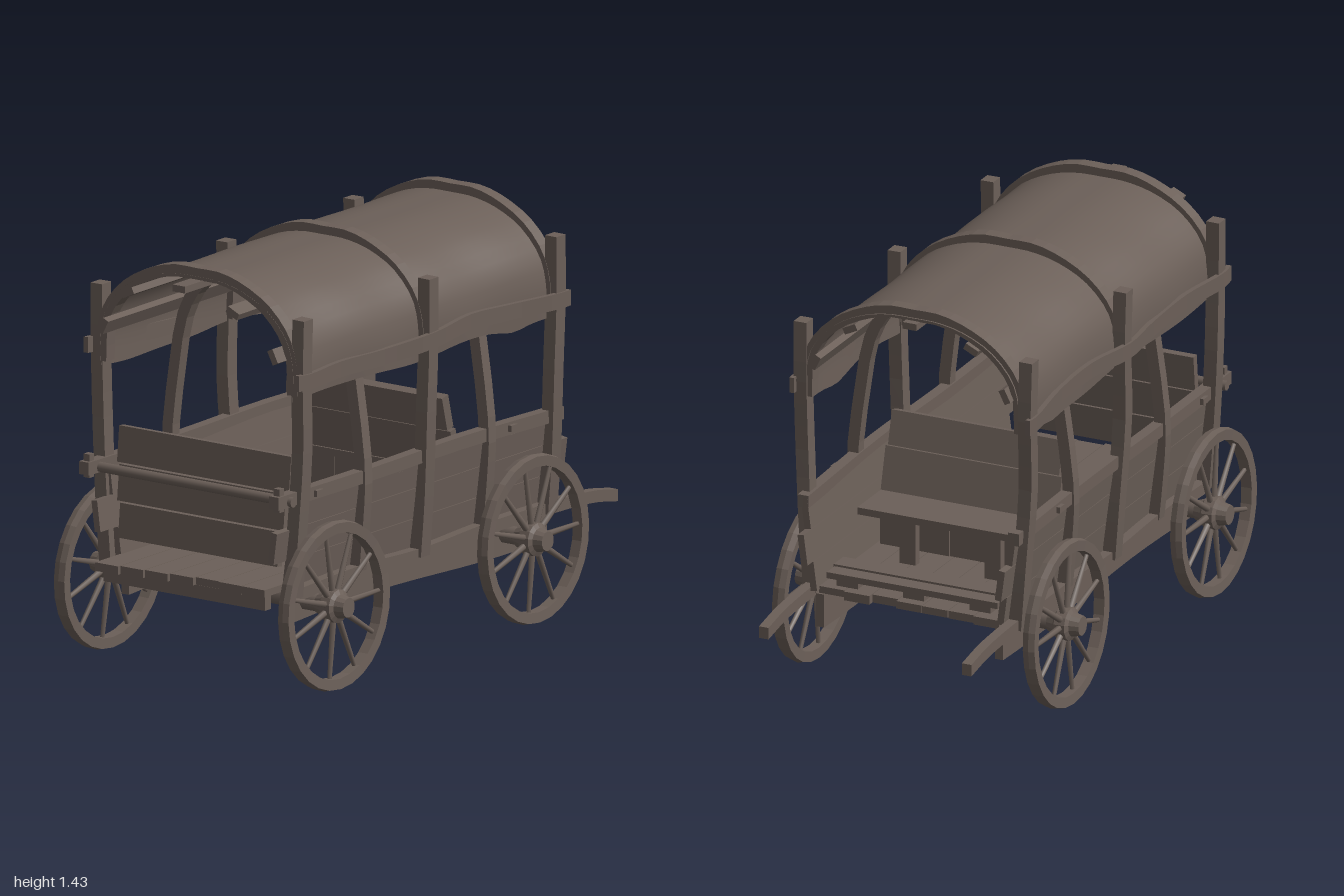
import * as THREE from 'three';

const wood = new THREE.MeshStandardMaterial({ color: 0x6b5f58, side: THREE.DoubleSide });
const X = new THREE.Vector3(1, 0, 0), Y = new THREE.Vector3(0, 1, 0);

export function createModel() {
  const root = new THREE.Group();
  let seed = 7;
  const rnd = () => (seed = (seed * 16807) % 2147483647) / 2147483647;
  const jitter = (a) => (rnd() - 0.5) * 2 * a;

  const add = (name, geo, parent = root) => {
    const m = new THREE.Mesh(geo, wood);
    m.name = name;
    parent.add(m);
    return m;
  };
  const flat = (geo) => {
    const g = geo.index ? geo.toNonIndexed() : geo;
    g.computeVertexNormals();
    return g;
  };
  const box = (name, x0, x1, y0, y1, z0, z1, parent = root) => {
    const m = add(name, new THREE.BoxGeometry(x1 - x0, y1 - y0, z1 - z0), parent);
    m.position.set((x0 + x1) / 2, (y0 + y1) / 2, (z0 + z1) / 2);
    return m;
  };
  // Square timber swept along a path; "side" is the fixed width direction
  const timber = (name, pts, side, width, thick, n = 12) => {
    const curve = new THREE.CatmullRomCurve3(pts.map((p) => new THREE.Vector3(...p)));
    const pos = [], idx = [];
    for (let i = 0; i <= n; i++) {
      const p = curve.getPoint(i / n), t = curve.getTangent(i / n);
      const nor = side.clone().cross(t).normalize();
      for (const [a, b] of [[-1, -1], [1, -1], [1, 1], [-1, 1]]) {
        const v = p.clone().addScaledVector(side, a * width / 2).addScaledVector(nor, b * thick / 2);
        pos.push(v.x, v.y, v.z);
      }
      if (i < n) for (let k = 0; k < 4; k++) {
        const a = i * 4 + k, b = i * 4 + (k + 1) % 4;
        idx.push(a, b, b + 4, a, b + 4, a + 4);
      }
    }
    const e = n * 4;
    idx.push(0, 2, 1, 0, 3, 2, e, e + 1, e + 2, e, e + 2, e + 3);
    const g = new THREE.BufferGeometry();
    g.setAttribute('position', new THREE.Float32BufferAttribute(pos, 3));
    g.setIndex(idx);
    return add(name, flat(g));
  };
  // Mirrors a half profile of [z, y] points into a full arch at x
  const arch = (half, x) => [
    ...half.map(([z, y]) => [x, y, z]),
    ...half.slice(0, -1).reverse().map(([z, y]) => [x, y, -z]),
  ];

  // Wheels
  const ringProfile = [[0.252, -0.02], [0.288, -0.022], [0.293, 0], [0.288, 0.022], [0.252, 0.02], [0.252, -0.02]];
  const hubProfile = [[0, -0.06], [0.035, -0.06], [0.045, -0.03], [0.058, -0.02], [0.058, 0.02], [0.042, 0.028], [0.034, 0.062], [0, 0.062]];
  const lathe = (p, n) => flat(new THREE.LatheGeometry(p.map((q) => new THREE.Vector2(...q)), n)).rotateX(Math.PI / 2);
  const rimGeo = lathe(ringProfile, 28), hubGeo = lathe(hubProfile, 14);
  const spokeGeo = new THREE.CylinderGeometry(0.008, 0.012, 0.22, 6).translate(0, 0.15, 0);
  for (const x of [-0.706, 0.421]) {
    for (const s of [1, -1]) {
      const wheel = new THREE.Group();
      wheel.name = 'wheel';
      add('rim', rimGeo, wheel);
      add('hub', hubGeo, wheel);
      for (let i = 0; i < 11; i++) add('spoke', spokeGeo, wheel).rotation.z = s * ((i / 11) * Math.PI * 2 + 0.15);
      wheel.position.set(x, 0.3, s * 0.472);
      wheel.rotation.set(-0.025, s > 0 ? 0 : Math.PI, 0);
      wheel.rotation.x = -s * 0.025;
      root.add(wheel);
    }
    const axle = add('axle', new THREE.CylinderGeometry(0.032, 0.032, 0.9, 10));
    axle.rotation.x = Math.PI / 2;
    axle.position.set(x, 0.3, 0);
  }

  // Floor boards with ragged ends
  for (let i = 0; i < 7; i++) {
    const z = -0.345 + i * 0.0986;
    box('floorBoard', -0.935 + jitter(0.025), 0.66 + jitter(0.02), 0.35 + jitter(0.004), 0.378, z, z + 0.096);
  }
  box('crossBeam', -0.16, -0.09, 0.3, 0.352, -0.34, 0.34);
  box('rearSill', -0.92, -0.885, 0.305, 0.352, -0.34, 0.34);

  for (const s of [1, -1]) {
    // Undercarriage beam, sagging along its lower edge
    const beamGeo = new THREE.BoxGeometry(1.46, 0.11, 0.03, 12, 1, 1);
    const bp = beamGeo.attributes.position;
    for (let i = 0; i < bp.count; i++) {
      if (bp.getY(i) < 0) bp.setY(i, -0.057 + 0.012 * Math.sin(bp.getX(i) * -4 + 0.5));
    }
    add('underBeam', flat(beamGeo)).position.set(-0.07, 0.295, s * 0.337);

    // Leaning side planks
    const planks = [[-0.82, 0.68, 0.365, 0.47], [-0.92, 0.725, 0.471, 0.581], [-0.83, 0.67, 0.582, 0.66], [-0.82, 0.67, 0.655, 0.695]];
    for (const [a, b, y0, y1] of planks) {
      const z = s * (0.35 + ((y0 + y1) / 2 - 0.36) * 0.13);
      box('sidePlank', a, b, y0, y1, z - 0.012, z + 0.012).rotation.x = s * 0.13;
    }
    // Top rail
    timber('topRail', [[-0.95, 0.695, s * 0.4], [-0.4, 0.69, s * 0.398], [0.1, 0.695, s * 0.4], [0.67, 0.68, s * 0.396]], Y, 0.045, 0.04);
    // Bottom rail running on into the pulling shaft
    const shaft = [[-0.83, 0.345], [-0.45, 0.357], [-0.1, 0.345], [0.25, 0.357], [0.6, 0.355], [0.75, 0.352], [0.88, 0.343], [1, 0.322]];
    timber('shaftRail', shaft.map(([x, y]) => [x, y, s * 0.382]), Y, 0.042, 0.036, 21);
    // Main posts
    for (const x of [-0.82, -0.11, 0.61]) {
      const w = x < -0.5 ? -0.003 : 0.005;
      timber('mainPost', [[x + w, 0.34, s * 0.386], [x + w, 0.55, s * 0.402], [x - w, 0.85, s * 0.42], [x + w, 1.1, s * 0.422], [x, 1.315, s * 0.425]], X, 0.052, 0.048);
    }
    // Wavy canopy rail, bowed outwards around the posts
    const rail = [[-0.88, 1.105, 0.444], [-0.82, 1.1, 0.446], [-0.6, 1.095, 0.415], [-0.35, 1.085, 0.412], [-0.11, 1.1, 0.446], [0.13, 1.11, 0.42], [0.35, 1.095, 0.412], [0.61, 1.09, 0.446], [0.66, 1.09, 0.444]];
    timber('canopyRail', rail.map(([x, y, z]) => [x, y, s * z]), Y, 0.055, 0.018, 32);
    // Small rail pegs
    for (const x of [-0.73, 0.37]) box('railPeg', x - 0.018, x + 0.018, 0.68, 0.702, s * 0.418 - 0.014, s * 0.418 + 0.014);
    box('rearPeg', -0.935, -0.91, 0.66, 0.742, s * 0.4 - 0.012, s * 0.4 + 0.012);
  }

  // Canopy hoops and slimmer inner arches
  const hoop = [[0.402, 1.05], [0.396, 1.17], [0.366, 1.25], [0.295, 1.328], [0.2, 1.382], [0.1, 1.412], [0, 1.413]];
  for (const x of [-0.825, -0.11, 0.61]) timber('canopyHoop', arch(hoop, x), X, 0.048, 0.042, 28);
  const inner = [[0.382, 0.36], [0.4, 0.55], [0.407, 0.7], [0.378, 0.95], [0.342, 1.14], [0.285, 1.245], [0.2, 1.318], [0.1, 1.352], [0, 1.358]];
  for (const x of [-0.45, 0.25]) timber('innerArch', arch(inner, x), X, 0.042, 0.042, 36);

  // Lengthwise canopy slats
  for (const [z, y, a, x0, x1] of [[0, 1.382, 0, -0.95, 0.66], [0.225, 1.332, 0.45, -0.95, 0.66], [-0.225, 1.332, -0.45, -0.94, 0.65], [0.357, 1.188, 1.1, -0.9, 0.66], [-0.357, 1.188, -1.1, -0.9, 0.66]]) {
    box('canopySlat', x0, x1, y - 0.012, y + 0.012, z - 0.026, z + 0.026).rotation.x = a;
  }

  // Canvas cover with gentle ripples
  const cover = new THREE.CatmullRomCurve3(arch([[0.403, 1.03], [0.403, 1.14], [0.378, 1.235], [0.3, 1.325], [0.2, 1.378], [0.1, 1.402], [0, 1.405]], 0).map((p) => new THREE.Vector3(...p)));
  const canvasGeo = new THREE.PlaneGeometry(1.49, 1, 30, 32);
  const cp = canvasGeo.attributes.position;
  for (let i = 0; i < cp.count; i++) {
    const x = cp.getX(i) - 0.105, t = THREE.MathUtils.clamp(cp.getY(i) + 0.5, 0, 1);
    const p = cover.getPoint(t), edge = Math.abs(t - 0.5) * 2;
    const ripple = 0.006 * Math.sin(x * 14 + t * 9) * edge;
    const hem = edge > 0.99 ? 0.008 * Math.sin(x * 8 + t * 3) - 0.015 * Math.exp(-(((x - 0.4) / 0.08) ** 2)) : 0;
    cp.setXYZ(i, x, p.y + hem + ripple * 0.5, p.z * (1 + ripple));
  }
  canvasGeo.computeVertexNormals();
  add('canvasCover', canvasGeo);

  // Tailgate at the rear with its cross bar
  for (const [y0, y1, w] of [[0.44, 0.56, 0.335], [0.565, 0.69, 0.35], [0.695, 0.82, 0.362]]) {
    const x = -0.825 + (y0 - 0.44) * 0.12;
    box('tailgatePlank', x - 0.013, x + 0.013, y0, y1, -w, w).rotation.z = -0.1;
  }
  const bar = add('rearBar', new THREE.CylinderGeometry(0.018, 0.018, 0.87, 8));
  bar.rotation.x = Math.PI / 2;
  bar.position.set(-0.885, 0.69, 0);

  // Driver bench: sloped backrest, seat, recessed front and foot board
  const back = new THREE.Group();
  back.name = 'backrest';
  box('backrestPlank', -0.018, 0.018, 0.157, 0.278, -0.322, 0.322, back);
  box('backrestPlank', -0.015, 0.015, 0, 0.153, -0.332, 0.332, back);
  back.position.set(0.193, 0.565, 0);
  back.rotation.z = 0.25;
  root.add(back);
  box('benchSeat', 0.17, 0.38, 0.54, 0.565, -0.335, 0.335);
  for (let i = 0; i < 5; i++) {
    const z = -0.33 + i * 0.132;
    box('benchPanel', 0.2, 0.22 + jitter(0.004), 0.375, 0.54, z, z + 0.13);
  }
  for (const z of [-0.16, 0.16]) box('benchLeg', 0.32, 0.35, 0.375, 0.54, z - 0.03, z + 0.03);
  box('footBoard', 0.5, 0.575, 0.408, 0.43, -0.328, 0.328);
  box('footBoard', 0.58, 0.64, 0.403, 0.425, -0.322, 0.322);
  for (const z of [-0.25, 0, 0.25]) box('footBlock', 0.52, 0.63, 0.375, 0.405, z - 0.04, z + 0.04);

  return root;
}
